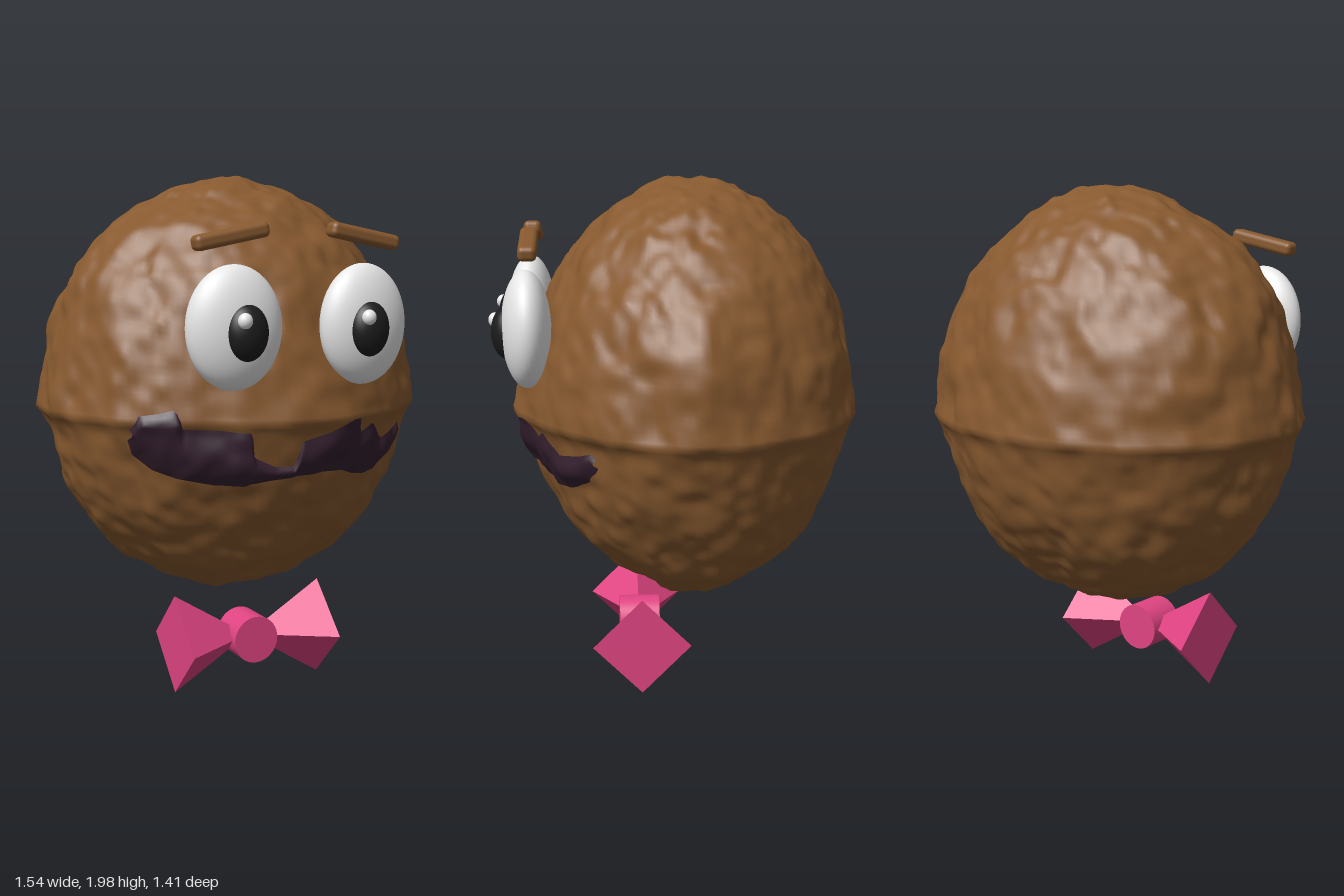
import * as THREE from 'three';
import { mergeVertices } from 'three/addons/utils/BufferGeometryUtils.js';
import { RoundedBoxGeometry } from 'three/addons/geometries/RoundedBoxGeometry.js';

const material = (name, color) => {
  const m = new THREE.MeshStandardMaterial({ color });
  m.name = name;
  return m;
};

// Smooth value noise in -1..1
const hash = (x, y, z) => {
  let h = (x * 374761393 + y * 668265263 + z * 1274126177) | 0;
  h = Math.imul(h ^ (h >>> 13), 1103515245);
  h = Math.imul(h ^ (h >>> 15), 668265263);
  return ((h ^ (h >>> 16)) >>> 0) / 2147483648 - 1;
};
function noise(x, y, z) {
  const i = Math.floor(x), j = Math.floor(y), k = Math.floor(z);
  const s = t => t * t * (3 - 2 * t);
  const u = s(x - i), v = s(y - j), w = s(z - k);
  let sum = 0;
  for (let a = 0; a < 2; a++) for (let b = 0; b < 2; b++) for (let c = 0; c < 2; c++) {
    sum += hash(i + a, j + b, k + c) * (a ? u : 1 - u) * (b ? v : 1 - v) * (c ? w : 1 - w);
  }
  return sum;
}

// Body: lumpy ellipsoid with a ledge around the middle
const R = { x: 0.735, y: 0.8, z: 0.617 };
const C = { x: 0, y: 1.175, z: -0.045 };
const RIDGE_Y = 1.1;
// direction, height and width of the larger lumps
const lumps = [
  [0.96, 0.27, 0, 0.05, 0.18],
  [-0.76, 0.62, 0.1, 0.04, 0.2],
  [0.02, 1, -0.06, 0.025, 0.13],
  [0, -0.15, 1, 0.075, 0.38],
  [0.62, -0.78, 0, 0.04, 0.25],
];
function bodyPoint(d) {
  let k = 1 + 0.016 * noise(d.x * 3.2 + 9, d.y * 3.2 + 5, d.z * 3.2 + 7)
    + 0.02 * noise(d.x * 6.5 + 20, d.y * 6.5 + 3, d.z * 6.5 + 11)
    + 0.013 * noise(d.x * 14 + 31, d.y * 14 + 17, d.z * 14 + 40);
  for (const [x, y, z, height, width] of lumps) {
    const q = (d.x - x) ** 2 + (d.y - y) ** 2 + (d.z - z) ** 2;
    k += height * Math.exp(-q / (width * width));
  }
  const y = C.y + R.y * d.y * k;
  const t = y - RIDGE_Y;
  // ledge above the mouth, with a gentle taper towards the crown
  const girth = 1 + 0.05 * Math.exp(t > 0 ? -t / 0.13 : t / 0.03) - 0.05 * Math.max(0, t - 0.3);
  return new THREE.Vector3(R.x * d.x * k * girth, y, C.z + R.z * d.z * k * girth);
}

function bodyGeometry() {
  let g = new THREE.SphereGeometry(1, 180, 140);
  g.deleteAttribute('normal');
  g.deleteAttribute('uv');
  g = mergeVertices(g, 1e-5);
  const pos = g.attributes.position, d = new THREE.Vector3();
  for (let i = 0; i < pos.count; i++) {
    const p = bodyPoint(d.fromBufferAttribute(pos, i));
    pos.setXYZ(i, p.x, p.y, p.z);
  }
  g.computeVertexNormals();
  return g;
}

// Depth of the body's front at a given x and y
function frontZ(x, y) {
  const d = new THREE.Vector3(x / R.x, (y - C.y) / R.y, 0);
  let p;
  for (let i = 0; i < 16; i++) {
    d.z = Math.sqrt(Math.max(0.02, 1 - d.x * d.x - d.y * d.y));
    p = bodyPoint(d);
    d.x += 0.5 * (x - p.x) / R.x;
    d.y += 0.5 * (y - p.y) / R.y;
  }
  return p.z;
}

// Mouth: ragged strip that hugs the body; stations are x, top, bottom
const mouthStations = [
  [-0.58, 1.08, 1.04], [-0.56, 1.13, 0.985], [-0.5, 1.14, 0.93], [-0.45, 1.155, 0.91],
  [-0.425, 1.085, 0.9], [-0.3, 1.08, 0.875], [-0.2, 1.07, 0.87], [-0.185, 0.98, 0.88],
  [-0.1, 0.94, 0.89], [-0.03, 0.94, 0.895], [-0.01, 1.03, 0.9], [0.1, 1.06, 0.905],
  [0.2, 1.1, 0.9], [0.24, 1.1, 0.885], [0.27, 1.04, 0.875], [0.33, 1.07, 0.87],
  [0.4, 1.0, 0.875], [0.5, 1.02, 0.925], [0.55, 1.04, 0.97], [0.56, 1.02, 0.99],
];
function mouthGeometry() {
  const g = new THREE.PlaneGeometry(1, 1, 110, 12);
  const pos = g.attributes.position;
  for (let i = 0; i < pos.count; i++) {
    const x = THREE.MathUtils.lerp(-0.58, 0.56, pos.getX(i) + 0.5);
    const v = pos.getY(i) + 0.5;
    let s = 0;
    while (s < mouthStations.length - 2 && x > mouthStations[s + 1][0]) s++;
    const a = mouthStations[s], b = mouthStations[s + 1];
    const t = (x - a[0]) / (b[0] - a[0]);
    const top = THREE.MathUtils.lerp(a[1], b[1], t);
    const bottom = THREE.MathUtils.lerp(a[2], b[2], t);
    const y = THREE.MathUtils.lerp(bottom, top, v);
    // the lip is fuller towards the right end
    const bulge = 0.018 + 0.04 * Math.max(0, -x);
    pos.setXYZ(i, x, y, frontZ(x, y) + 0.004 + bulge * Math.sin(Math.PI * v));
  }
  g.computeVertexNormals();
  return g;
}

export function createModel() {
  const brown = material('brown fur', 0x87592f);
  const white = material('eye white', 0xf2f2f2);
  const black = material('pupil black', 0x1c1c1c);
  const purple = material('mouth purple', 0x35202f);
  const pink = material('bow pink', 0xe04482);
  purple.side = THREE.DoubleSide;

  const model = new THREE.Group();
  const add = (name, geometry, mat, x = 0, y = 0, z = 0) => {
    const mesh = new THREE.Mesh(geometry, mat);
    mesh.name = name;
    mesh.position.set(x, y, z);
    model.add(mesh);
    return mesh;
  };

  add('body', bodyGeometry(), brown);
  add('mouth', mouthGeometry(), purple);

  // Eyes, pupils, glints and brows
  const ball = new THREE.SphereGeometry(1, 40, 28);
  const browShape = new RoundedBoxGeometry(0.285, 0.055, 0.068, 4, 0.02);
  for (const [side, s] of [['left', 1], ['right', -1]]) {
    const cx = -0.011;
    const eye = add(side + 'Eye', ball, white, cx + s * 0.258, 1.443, 0.58);
    eye.scale.set(0.177, 0.219, 0.093);
    eye.rotation.y = s * 0.08;
    const pupil = add(side + 'Pupil', ball, black, cx + s * 0.243, 1.43, 0.647);
    pupil.scale.set(0.079, 0.101, 0.064);
    pupil.rotation.y = s * 0.08;
    add(side + 'Glint', ball, white, cx + s * 0.243 - 0.027, 1.473, 0.696).scale.set(0.026, 0.028, 0.025);
    const brow = add(side + 'Brow', browShape, brown, cx + s * 0.264, 1.757, 0.565);
    brow.rotation.z = -s * 0.19;
  }

  // Bow tie: two pyramids meeting at a round knot
  for (const [side, s] of [['left', 1], ['right', -1]]) {
    const wing = new THREE.ConeGeometry(0.192, 0.312, 4).toNonIndexed();
    wing.computeVertexNormals();
    const mesh = add(side + 'BowWing', wing, pink, -0.01 + s * 0.156, 0.196, 0.16);
    mesh.rotation.z = s * Math.PI / 2;
  }
  const knot = add('bowKnot', new THREE.CylinderGeometry(0.092, 0.092, 0.16, 40), pink, -0.01, 0.196, 0.16);
  knot.rotation.x = Math.PI / 2;

  return model;
}
